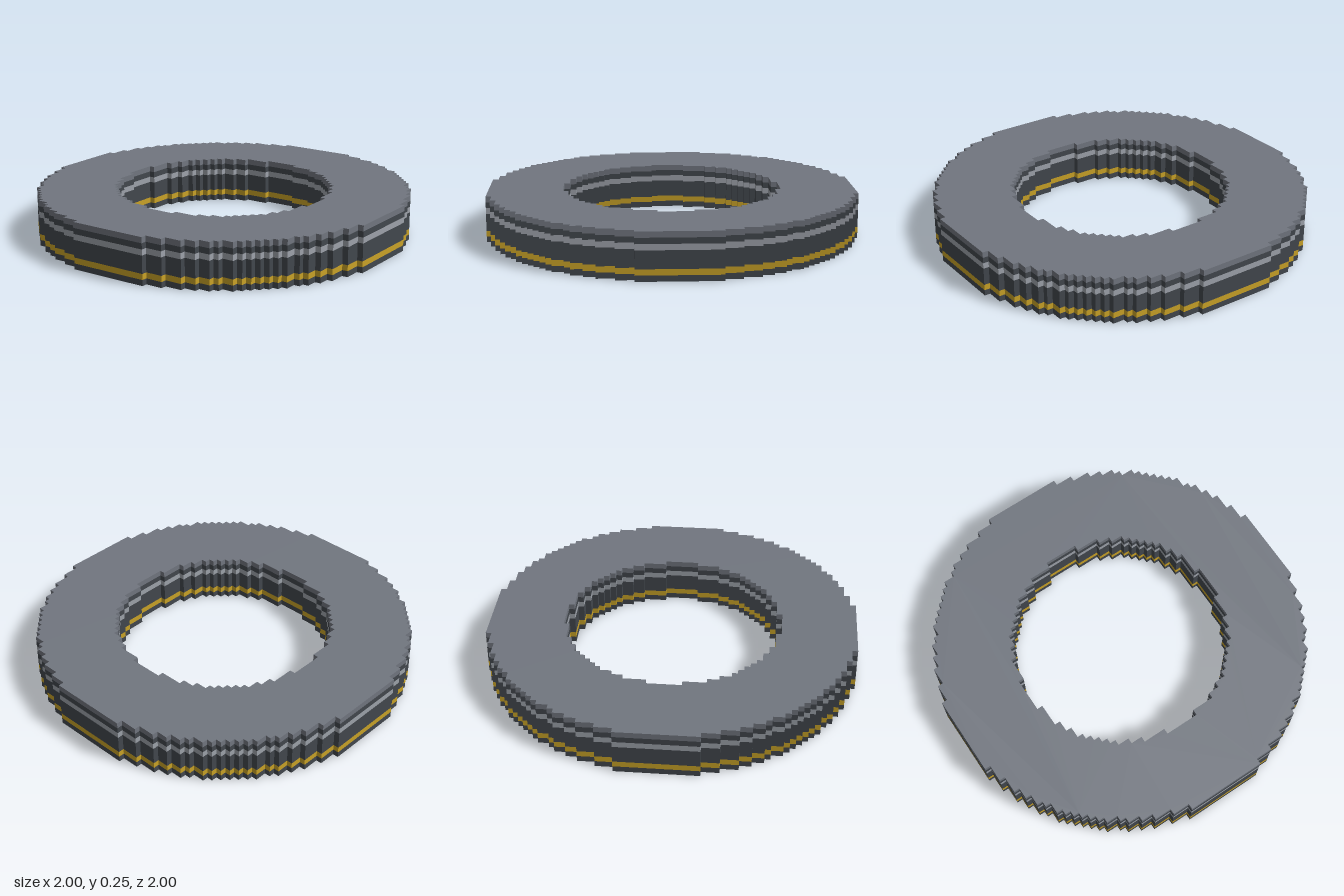
import * as THREE from 'three';

const CELL = 1 / 32; // size of one block

// Stepped circle outline: whole blocks whose centres lie within the radius
function steppedCircle(radiusSq) {
  const quadrant = [];
  const width = (j) => Math.max(0, Math.floor(Math.sqrt(Math.max(0, radiusSq - (j + 0.5) ** 2)) + 0.5));
  for (let j = 0; width(j) > 0; j++) {
    const w = width(j), next = width(j + 1);
    if (next === w) continue;
    quadrant.push([w, j + 1]);
    if (next > 0) quadrant.push([next, j + 1]);
  }
  // Repeat the quarter outline by quarter turns
  const points = [];
  for (let q = 0; q < 4; q++) {
    for (const [px, py] of quadrant) {
      let x = px, y = py;
      for (let k = 0; k < q; k++) [x, y] = [-y, x];
      points.push(new THREE.Vector2(x * CELL, y * CELL));
    }
  }
  return points;
}

export function createModel() {
  const group = new THREE.Group();
  group.name = 'steppedRing';

  const material = (name, color) => {
    const m = new THREE.MeshStandardMaterial({ color });
    m.name = name;
    return m;
  };
  const dark = material('darkGrey', 0x42474d);
  const gold = material('gold', 0xc9a227);
  const light = material('lightGrey', 0x9da2aa);
  const grey = material('midGrey', 0x71767f);

  const ring = new THREE.Shape(steppedCircle(1037.5));
  ring.holes.push(new THREE.Path(steppedCircle(351)));

  // Stacked bands: name, first layer, layer count, material
  const bands = [
    ['baseBand', 0, 1, dark],
    ['goldStripe', 1, 1, gold],
    ['middleBand', 2, 3, dark],
    ['lightStripe', 5, 1, light],
    ['upperBand', 6, 1, dark],
    ['topPlate', 7, 1, grey],
  ];
  for (const [name, start, count, mat] of bands) {
    const geometry = new THREE.ExtrudeGeometry(ring, { depth: count * CELL, bevelEnabled: false, steps: 1 });
    geometry.rotateX(-Math.PI / 2);
    const mesh = new THREE.Mesh(geometry, mat);
    mesh.name = name;
    mesh.position.y = start * CELL;
    group.add(mesh);
  }
  return group;
}
